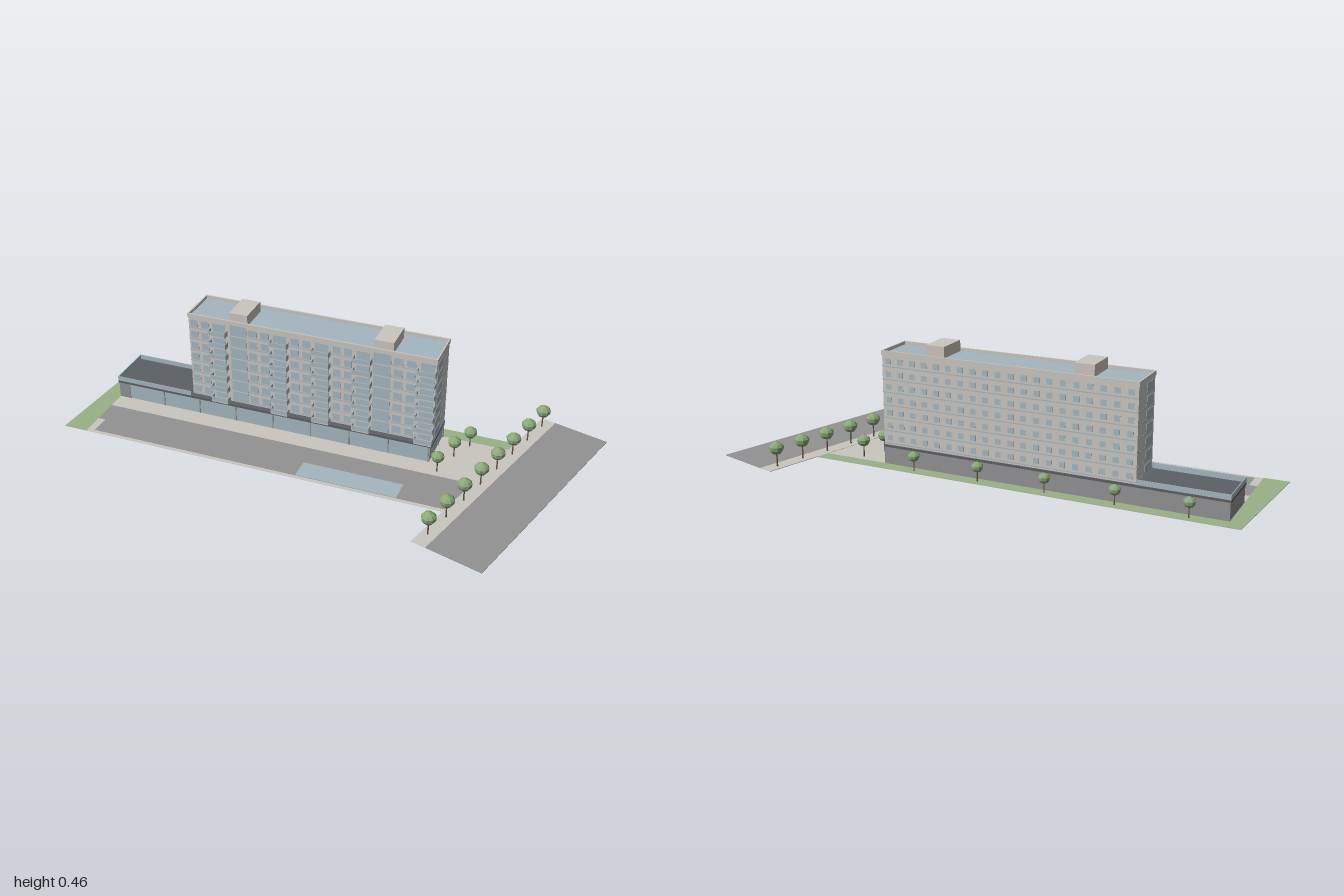
import * as THREE from 'three';

const mat = (name, color) => new THREE.MeshStandardMaterial({ name, color, flatShading: true });

export function createModel() {
  const root = new THREE.Group();
  root.name = 'apartmentBlock';
  const wall = mat('concrete', 0xcac6c0);
  const glass = mat('paleBlueGlass', 0xa5b6bf);
  const asphalt = mat('asphalt', 0x929294);
  const dark = mat('darkRoofing', 0x5c5f64);
  const grass = mat('grass', 0x99b186);
  const leaf = mat('foliage', 0x8ba878);
  const bark = mat('bark', 0x6b574a);

  // box given by its minimum and maximum corners
  const box = (parent, name, m, x0, x1, y0, y1, z0, z1) => {
    const mesh = new THREE.Mesh(new THREE.BoxGeometry(x1 - x0, y1 - y0, z1 - z0), m);
    mesh.position.set((x0 + x1) / 2, (y0 + y1) / 2, (z0 + z1) / 2);
    mesh.name = name;
    parent.add(mesh);
    return mesh;
  };
  const group = (name) => {
    const g = new THREE.Group();
    g.name = name;
    root.add(g);
    return g;
  };
  // flat slab with an outline in [x, z]
  const slab = (parent, name, m, pts, y0, y1) => {
    const shape = new THREE.Shape(pts.map(([x, z]) => new THREE.Vector2(x, -z)));
    const geo = new THREE.ExtrudeGeometry(shape, { depth: y1 - y0, bevelEnabled: false });
    geo.rotateX(-Math.PI / 2);
    const mesh = new THREE.Mesh(geo, m);
    mesh.position.y = y0;
    mesh.name = name;
    parent.add(mesh);
  };

  // site: plot, lawns, drive, and the slanted street
  const site = group('site');
  slab(site, 'plot', wall, [[-1, 0.22], [0.531, 0.22], [0.675, -0.285], [-0.955, -0.285]], 0, 0.001);
  slab(site, 'lawn', grass, [[-1, 0.22], [-0.905, 0.22], [-0.905, -0.235], [0.661, -0.235],
    [0.675, -0.285], [-0.955, -0.285]], 0.001, 0.002);
  slab(site, 'drive', asphalt, [[-0.905, 0.025], [-0.905, 0.125], [-0.875, 0.125], [-0.875, 0.205],
    [0.535, 0.205], [0.587, 0.025]], 0.001, 0.002);
  box(site, 'parkingBay', glass, -0.035, 0.355, 0.002, 0.003, 0.12, 0.205);
  slab(site, 'pavement', wall, [[0.475, 0.415], [0.53, 0.431], [0.79, -0.48], [0.735, -0.495]], 0, 0.002);
  slab(site, 'street', asphalt, [[0.53, 0.431], [0.74, 0.49], [1, -0.42], [0.79, -0.48]], 0, 0.002);

  // podium: glazed front and right end, solid back and left end
  const podium = group('podium');
  box(podium, 'podiumGlazing', glass, -0.86, 0.4, 0.001, 0.067, -0.228, -0.053);
  box(podium, 'podiumLeftWall', asphalt, -0.905, -0.86, 0.001, 0.067, -0.235, -0.051);
  box(podium, 'podiumBackWall', asphalt, -0.86, 0.405, 0.001, 0.067, -0.235, -0.228);
  box(podium, 'podiumRoofSlab', dark, -0.907, 0.407, 0.067, 0.076, -0.236, -0.048);
  for (let i = 0; i <= 8; i++) {
    const x = -0.86 + i * 0.157;
    box(podium, 'mullion', asphalt, x - 0.002, x + 0.002, 0.001, 0.067, -0.053, -0.051);
  }
  for (const z of [-0.229, -0.17, -0.112, -0.054]) {
    box(podium, 'endMullion', asphalt, 0.4, 0.402, 0.001, 0.067, z - 0.002, z + 0.002);
  }
  // glass railing round the terrace
  box(podium, 'terraceRailFront', glass, -0.907, -0.58, 0.076, 0.095, -0.051, -0.048);
  box(podium, 'terraceRailBack', glass, -0.907, -0.58, 0.076, 0.095, -0.236, -0.233);
  box(podium, 'terraceRailLeft', glass, -0.907, -0.904, 0.076, 0.095, -0.233, -0.051);

  // tower with raised roof edge and roof houses
  const X0 = -0.58, X1 = 0.405, Z0 = -0.232, Z1 = -0.071;
  const tower = group('tower');
  box(tower, 'towerBody', wall, X0, X1, 0.076, 0.42, Z0, Z1);
  box(tower, 'roofSurface', glass, X0 + 0.003, X1 - 0.003, 0.42, 0.422, Z0 + 0.003, Z1 - 0.003);
  for (const [a, b] of [[Z0 - 0.003, Z0 + 0.003], [Z1 - 0.003, Z1 + 0.003]]) {
    box(tower, 'longParapet', wall, X0 - 0.003, X1 + 0.003, 0.417, 0.434, a, b);
  }
  for (const [a, b] of [[X0 - 0.003, X0 + 0.003], [X1 - 0.003, X1 + 0.003]]) {
    box(tower, 'endParapet', wall, a, b, 0.417, 0.434, Z0 + 0.003, Z1 - 0.003);
  }
  for (const x of [-0.373, 0.203]) {
    box(tower, 'roofHouse', wall, x - 0.037, x + 0.037, 0.42, 0.464, -0.2, -0.077);
  }

  // repeated storeys
  const storeys = group('storeys');
  const T = 0.0015;
  const front = (name, x0, x1, y0, y1) => box(storeys, name, glass, x0, x1, y0, y1, Z1, Z1 + T);
  const balconies = [-0.453, -0.203, -0.035, 0.127, 0.372];
  const bays = [[-0.58, -0.49], [-0.338, -0.24], [-0.167, -0.072], [0.002, 0.09], [0.238, 0.335]];
  for (let f = 0; f < 7; f++) {
    const y = 0.083 + f * 0.0487;
    // sill bands on both ends and the back
    for (const x of [X0, X1]) {
      box(storeys, 'endSillBand', glass, x - T / 2, x + T / 2, y - 0.002, y + 0.003, Z0, Z1);
      box(storeys, 'endWindow', glass, x - T, x + T, y, y + 0.034, -0.151, -0.086);
    }
    box(storeys, 'backSillBand', glass, X0, X1, y - 0.002, y + 0.002, Z0 - T / 2, Z0);
    for (let i = 0; i < 20; i++) {
      const x = X0 + 0.025 + i * 0.0492;
      box(storeys, 'backWindow', glass, x - 0.011, x + 0.011, y + 0.01, y + 0.031, Z0 - T, Z0);
    }
    // front windows and stair glazing
    for (const [a, b] of bays) {
      const w = (b - a) / 2;
      for (let i = 0; i < 2; i++) {
        front('frontWindow', a + i * w + 0.007, a + (i + 1) * w - 0.007, y + 0.005, y + 0.034);
      }
      front('frontSillBand', a, b, y - 0.002, y + 0.002);
    }
    for (const x of [-0.373, 0.2]) front('stairGlazing', x - 0.034, x + 0.034, y - 0.003, y + 0.041);
    // balconies: floor, glass panels
    for (const x of balconies) {
      const a = x - 0.035, b = x + 0.035, y0 = y - 0.01, zf = -0.045;
      front('balconyDoor', x - 0.026, x + 0.026, y, y + 0.034);
      box(storeys, 'balconyFloor', wall, a, b, y0, y0 + 0.005, Z1, zf);
      box(storeys, 'balconyFront', glass, a, b, y0 + 0.005, y0 + 0.023, zf - 0.002, zf);
      for (const s of [a, b - 0.002]) {
        box(storeys, 'balconySide', glass, s, s + 0.002, y0 + 0.005, y0 + 0.023, Z1, zf - 0.002);
      }
    }
  }

  // trees: faceted crown on a thin trunk
  const crownGeo = new THREE.LatheGeometry([[0, 0.047], [0.017, 0.052], [0.026, 0.064], [0.028, 0.078],
    [0.021, 0.087], [0, 0.099]].map(([r, y]) => new THREE.Vector2(r, y)), 8);
  const trunkGeo = new THREE.CylinderGeometry(0.0025, 0.003, 0.052, 6);
  trunkGeo.translate(0, 0.026, 0);
  const tree = (x, z, s) => {
    const g = group('tree');
    const crown = new THREE.Mesh(crownGeo, leaf);
    crown.name = 'crown';
    const trunk = new THREE.Mesh(trunkGeo, bark);
    trunk.name = 'trunk';
    g.add(crown, trunk);
    g.position.set(x, 0.001, z);
    g.scale.setScalar(s);
  };
  for (let i = 0; i < 8; i++) tree(0.745 - i * 0.0325, -0.438 + i * 0.114, 1);
  for (let i = 0; i < 5; i++) tree(-0.775 + i * 0.26, -0.261, 0.78);
  for (const [x, z] of [[0.516, -0.205], [0.477, -0.12], [0.444, -0.006]]) tree(x, z, 0.9);

  return root;
}
